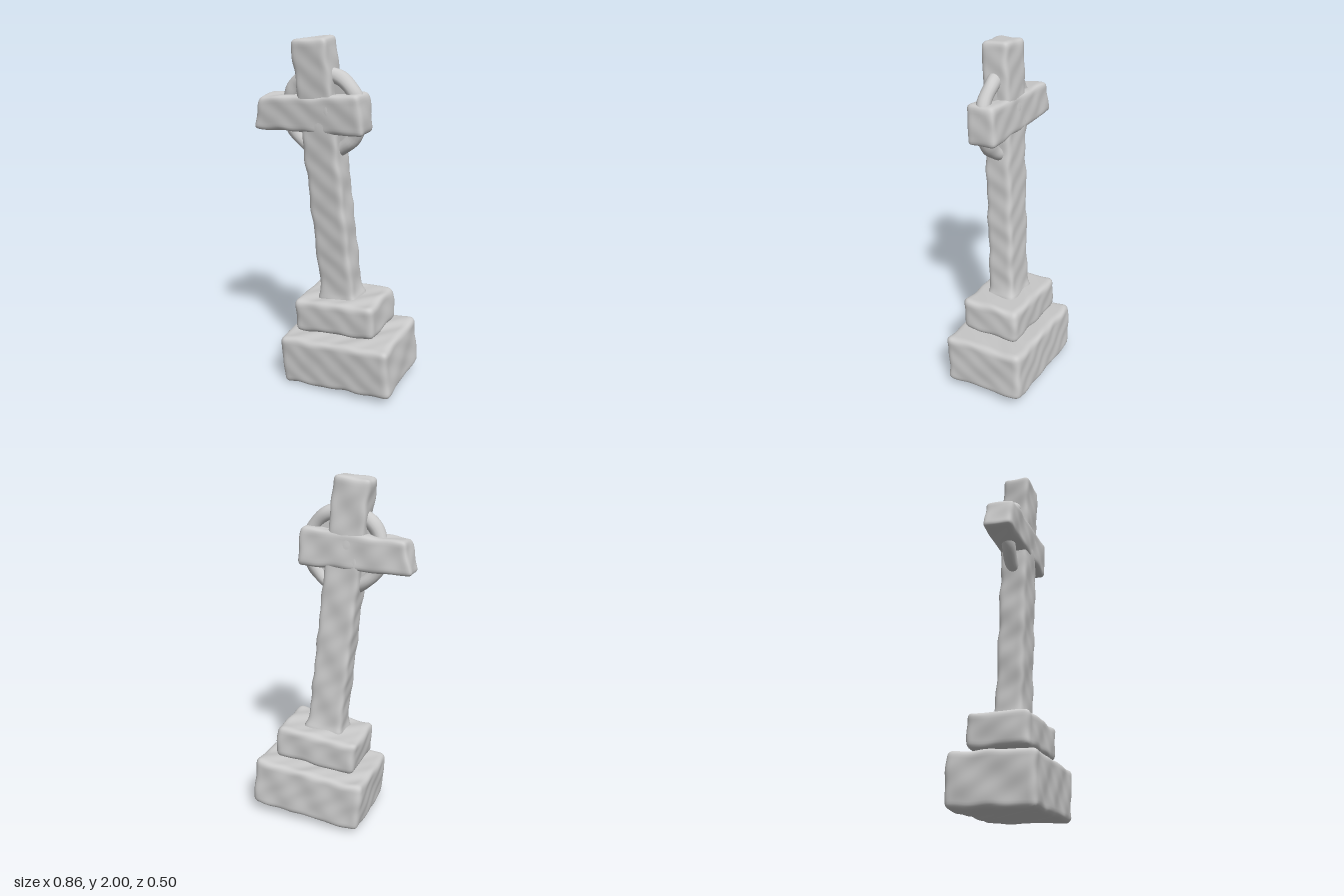
import * as THREE from 'three';
import { mergeVertices } from 'three/addons/utils/BufferGeometryUtils.js';

const material = new THREE.MeshStandardMaterial({ color: 0xcccccc });

// Smooth, repeatable weathering of a stone surface
function weather(p, amp, seed) {
  const { x, y, z } = p;
  p.x += amp * (Math.sin(y * 23 + z * 17 + seed) + 0.6 * Math.sin(y * 47 - z * 31 + seed * 2));
  p.y += amp * (Math.sin(x * 19 + z * 25 + seed) + 0.6 * Math.sin(x * 41 + z * 37 + seed * 3));
  p.z += amp * (Math.sin(x * 27 - y * 21 + seed) + 0.6 * Math.sin(x * 39 + y * 43 + seed * 2));
}

// Weld a geometry, move its vertices by a rule and smooth it
function reshape(geometry, rule) {
  geometry.deleteAttribute('uv');
  geometry.deleteAttribute('normal');
  const g = mergeVertices(geometry, 1e-4);
  const pos = g.attributes.position;
  const p = new THREE.Vector3();
  for (let i = 0; i < pos.count; i++) {
    rule(p.fromBufferAttribute(pos, i));
    pos.setXYZ(i, p.x, p.y, p.z);
  }
  g.computeVertexNormals();
  return g;
}

// Worn block with rounded edges; warp bends it before weathering
function stone(name, w, h, d, r, seed, warp = () => {}) {
  const half = new THREE.Vector3(w / 2 - r, h / 2 - r, d / 2 - r);
  const low = half.clone().negate();
  const core = new THREE.Vector3();
  const seg = (s) => Math.ceil(s / 0.014);
  const g = reshape(new THREE.BoxGeometry(w, h, d, seg(w), seg(h), seg(d)), (p) => {
    core.copy(p).clamp(low, half);
    p.sub(core).setLength(r).add(core);
    warp(p);
    weather(p, 0.0028, seed);
  });
  const mesh = new THREE.Mesh(g, material);
  mesh.name = name;
  return mesh;
}

export function createModel() {
  const model = new THREE.Group();
  model.name = 'weatheredRingedCross';

  // Sunken, tilted plinth of two blocks
  const base = stone('lowerPlinth', 0.67, 0.295, 0.485, 0.032, 1);
  base.position.set(0.085, 0.18, 0);
  base.rotation.set(0.05, 0, 0.07);

  const step = stone('upperPlinth', 0.49, 0.195, 0.35, 0.032, 4);
  step.position.set(0.06, 0.447, 0.016);
  step.rotation.set(0.03, 0, 0.075);

  // Leaning cross
  const cross = new THREE.Group();
  cross.name = 'cross';
  cross.position.set(0.05, 0.5, 0.026);
  cross.rotation.set(0.067, 0, 0.085);

  // Shaft, flared slightly at the foot
  const shaft = stone('shaft', 0.205, 1.52, 0.155, 0.026, 7, (p) => {
    const foot = Math.exp(-Math.max(0, p.y + 0.70) * 35);
    p.x *= 1 + 0.16 * foot;
    p.z *= 1 + 0.16 * foot;
  });
  shaft.position.y = 0.742;

  // Crossbar: whole left arm is short, the longer right arm ends in a slanted break
  const arms = stone('crossbar', 0.625, 0.2, 0.165, 0.026, 2, (p) => {
    const t = p.x / 0.3125;
    p.y = p.y * (1 + 0.1 * t) - 0.016 * t;
    if (t < 0) p.x += t * t * (p.y - 0.016) * -0.35 * Math.sign(t);
  });
  arms.position.set(-0.052, 1.112, 0);

  // Ring around the crossing
  const ring = new THREE.Mesh(
    reshape(new THREE.TorusGeometry(0.212, 0.04, 16, 72), (p) => weather(p, 0.003, 5)), material);
  ring.name = 'ring';
  ring.position.set(0.014, 1.108, 0);

  // Thin stone left behind the dimples inside the ring
  const web = new THREE.Mesh(new THREE.CylinderGeometry(0.21, 0.21, 0.03, 48), material);
  web.name = 'ringWeb';
  web.rotation.x = Math.PI / 2;
  web.position.copy(ring.position);

  cross.add(shaft, arms, ring, web);
  model.add(base, step, cross);
  return model;
}
